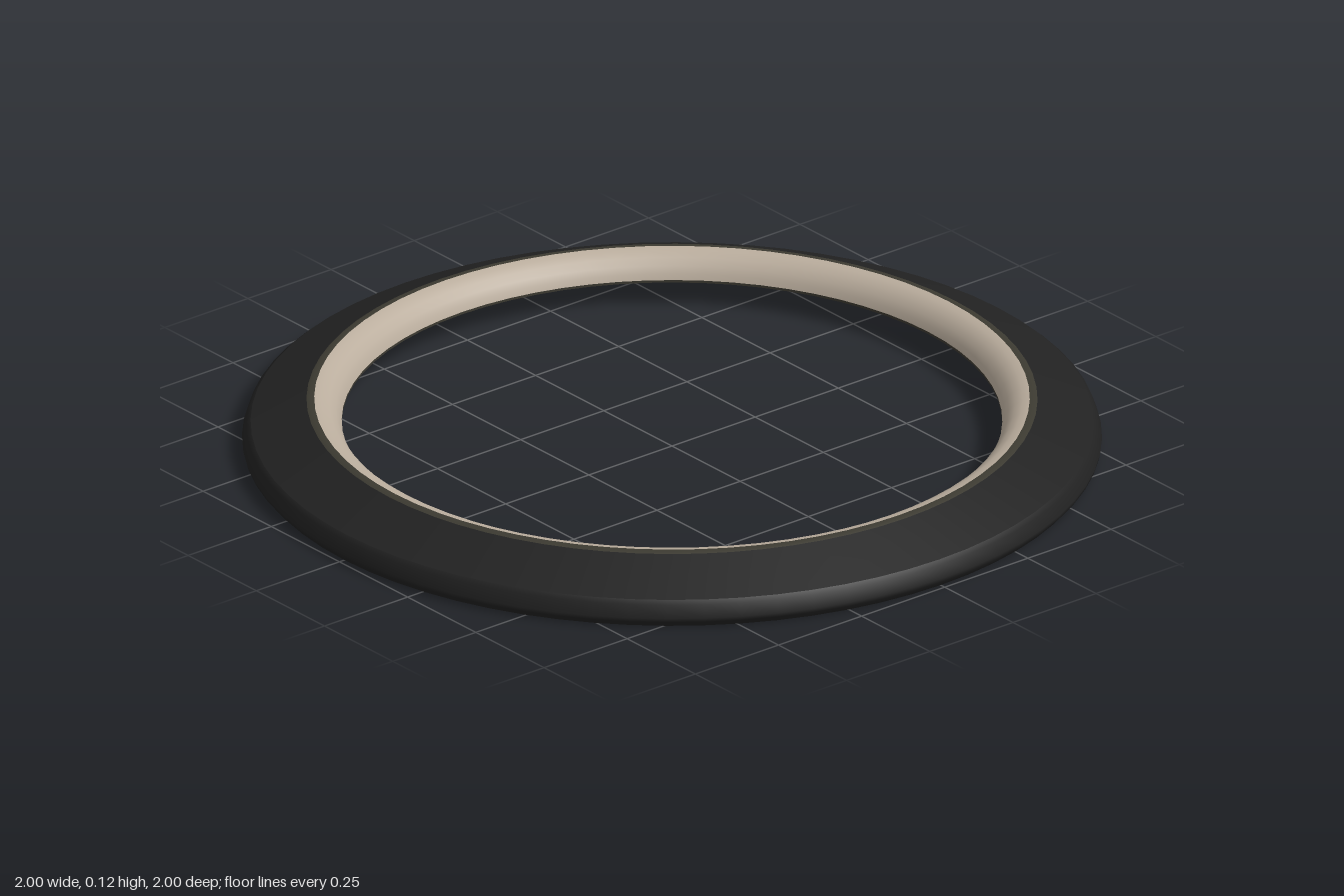
import * as THREE from 'three';

const SEGMENTS = 72;

function material(name, color) {
  const m = new THREE.MeshStandardMaterial({ color });
  m.name = name;
  return m;
}

export function createModel() {
  const black = material('black', 0x222222);
  const cream = material('cream', 0xbbae9e);
  const olive = material('dark olive', 0x3c3a31);
  const taupe = material('dark taupe', 0x57534a);

  const ring = new THREE.Group();
  ring.name = 'bezelRing';

  // Each band is a turned strip; [radius, height] pairs run anticlockwise round the section
  const band = (name, mat, profile) => {
    const points = profile.map(([r, y]) => new THREE.Vector2(r, y));
    const mesh = new THREE.Mesh(new THREE.LatheGeometry(points, SEGMENTS), mat);
    mesh.name = name;
    ring.add(mesh);
  };

  // Outer body
  band('outerRim', black, [[0.985, 0], [0.998, 0.015], [1, 0.025], [0.99, 0.055], [0.98, 0.064]]);
  band('slopedFace', black, [[0.98, 0.064], [0.91, 0.095], [0.85, 0.121]]);

  // Narrow border where the sloped face meets the inner lip
  band('topBorder', olive, [[0.85, 0.121], [0.842, 0.124], [0.832, 0.124]]);

  // Rounded inner lip rolling down to the opening
  band('innerLip', cream, [[0.832, 0.124], [0.815, 0.121], [0.797, 0.111], [0.782, 0.096], [0.773, 0.08], [0.768, 0.066]]);
  band('lipEdge', olive, [[0.768, 0.066], [0.768, 0.06]]);

  // Hollow underside with a stepped foot
  band('underside', taupe, [[0.768, 0.06], [0.85, 0.045], [0.93, 0.03]]);
  band('footWall', black, [[0.93, 0.03], [0.942, 0]]);
  band('foot', black, [[0.942, 0], [0.985, 0]]);

  return ring;
}
